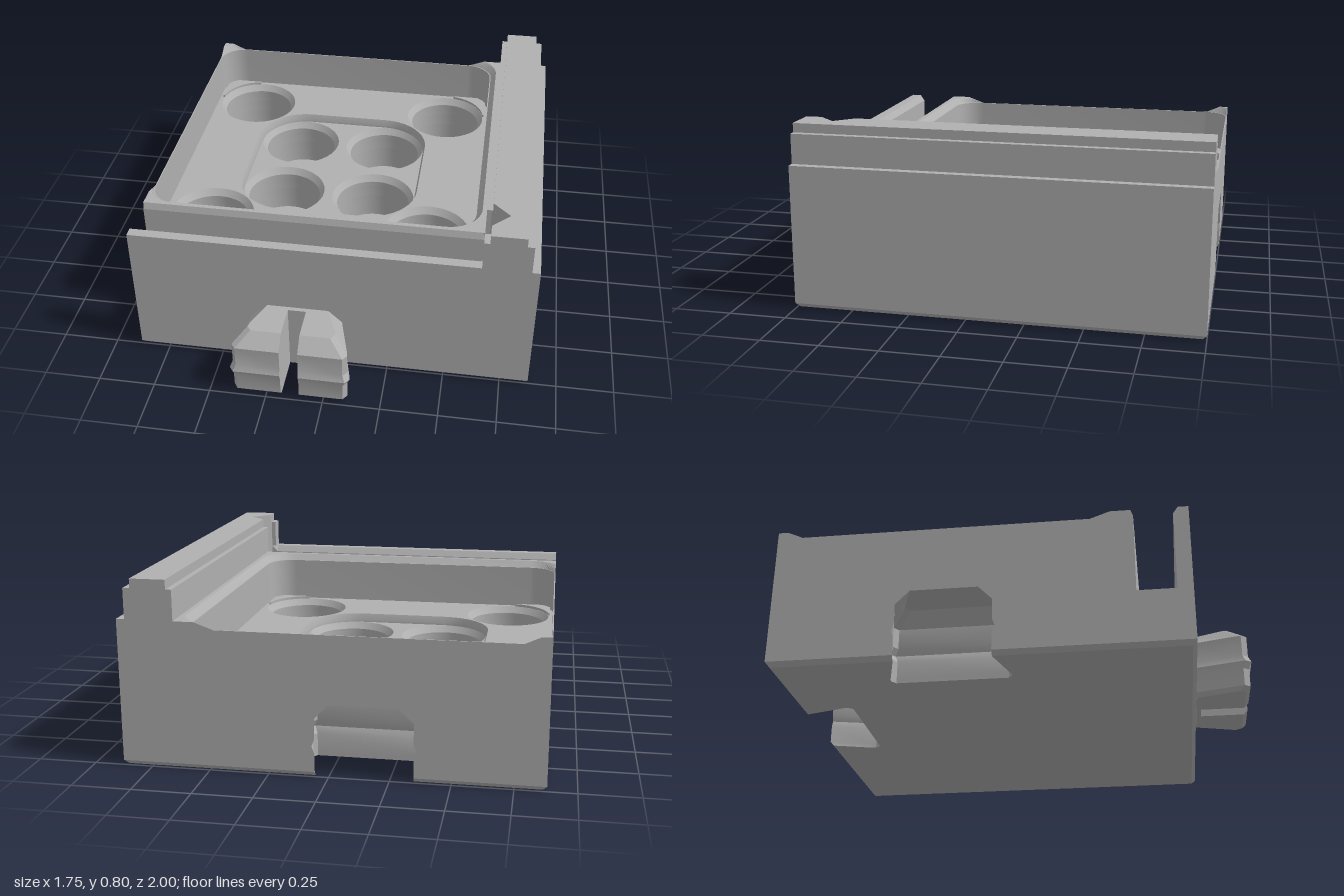
import * as THREE from 'three';
import { toCreasedNormals } from 'three/addons/utils/BufferGeometryUtils.js';

// Plan coordinates [x, z] are measured from the centre of the tray cavity.
const LO = -0.735, HI = 1.02;

// Solid made of stacked plan sections: levels = [{ y, outline, holes }]
function solid(levels) {
  const v2 = (pts, ccw) => {
    const a = pts.map(([x, z]) => new THREE.Vector2(x, z));
    return (THREE.ShapeUtils.area(a) > 0) === ccw ? a : a.reverse();
  };
  const secs = levels.map(({ y, outline, holes = [] }) => ({
    y, loops: [v2(outline, true), ...holes.map((h) => v2(h, false))],
  }));
  const pos = [];
  const put = (p, y) => pos.push(p.x, y, p.y);
  // Walls
  for (let k = 0; k + 1 < secs.length; k++) {
    const a = secs[k], b = secs[k + 1];
    a.loops.forEach((loop, l) => loop.forEach((p, i) => {
      const j = (i + 1) % loop.length, up = b.loops[l];
      put(p, a.y); put(up[i], b.y); put(up[j], b.y);
      put(p, a.y); put(up[j], b.y); put(loop[j], a.y);
    }));
  }
  // Caps
  const cap = ({ y, loops }, top) => {
    const all = loops.flat();
    for (const f of THREE.ShapeUtils.triangulateShape(loops[0], loops.slice(1))) {
      const t = f.map((i) => all[i]);
      if ((THREE.ShapeUtils.area(t) > 0) === top) t.reverse();
      t.forEach((p) => put(p, y));
    }
  };
  cap(secs[0], false);
  cap(secs[secs.length - 1], true);
  const g = new THREE.BufferGeometry();
  g.setAttribute('position', new THREE.Float32BufferAttribute(pos, 3));
  return toCreasedNormals(g, 0.4);
}

// Points of an arc from angle a to b
function arc(cx, cz, r, a, b, n = 10) {
  return Array.from({ length: n + 1 }, (_, i) => {
    const t = a + (b - a) * i / n;
    return [cx + r * Math.cos(t), cz + r * Math.sin(t)];
  });
}
const circle = (cx, cz, r) => arc(cx, cz, r, 0, Math.PI * 2, 40).slice(0, -1);
const fourCorners = (d, f) => [[-d, -d], [d, -d], [-d, d], [d, d]].map(([x, z]) => f(x, z));
const wells = (d, r) => fourCorners(d, (x, z) => circle(x, z, r));

// Rounded square of half size h, corner centres at c
function roundedSquare(h, c) {
  const q = Math.PI / 2;
  return [[c, c], [-c, c], [-c, -c], [c, -c]].flatMap(([x, z], i) => arc(x, z, h - c, i * q, (i + 1) * q));
}

// Half outline of the dovetail: [sideways, outward]
const dovetail = (g) => [[0.195 + g, 0], [0.246 + g, 0.185 + g], [0.25 + g, 0.205 + g], [0.232 + g, 0.23 + g]];

// Pocket running along +x, cut into the edge on the low z side
function pocket(g, inset) {
  const half = dovetail(g + 0.008).map(([s, d], i) => [s, LO + (i ? d : inset)]);
  return [...half.map(([s, z]) => [-s, z]), ...half.reverse()];
}

// Groove with a pointed end, listed from its cavity side to its front side
const groove = (a = 0.79, b = 0.955) => [[LO, a], [0.77, a], [0.8, 0.79], [0.88, 0.8725], [0.8, 0.955], [0.77, b], [LO, b]];

// Body outline with optional pockets and groove
function body({ g = null, inset = 0, cut = false }) {
  const lo = LO + inset, hi = HI - inset;
  const back = g === null ? [] : pocket(g, inset);
  const left = back.map(([x, z]) => [z, x]).reverse();
  return [[lo, lo], ...back, [hi, lo], [hi, hi], [lo, hi], ...(cut ? groove().reverse() : []), ...left];
}

export function createModel() {
  const grey = new THREE.MeshStandardMaterial({ color: 0xb0b0b0 });
  grey.name = 'grey plastic';
  const model = new THREE.Group();
  model.name = 'modularTray';
  const add = (name, levels) => {
    const m = new THREE.Mesh(solid(levels), grey);
    m.name = name;
    m.position.set(-0.145, 0, -0.265);
    model.add(m);
  };

  // Closed base with chamfered foot and connector pockets
  add('base', [
    { y: 0, outline: body({ g: 0, inset: 0.018 }) },
    { y: 0.02, outline: body({ g: 0 }) },
    { y: 0.1, outline: body({ g: 0 }) },
    { y: 0.13, outline: body({ g: 0.012 }) },
  ]);

  // Lower block with eight wells
  const eight = (ri) => [...wells(0.22, ri), ...wells(0.51, 0.175)];
  add('lowerBlock', [[0.13, 0.012], [0.16, 0], [0.25, 0]].map(([y, g]) => ({ y, outline: body({ g }), holes: eight(0.175) })));
  add('pocketRoofBlock', [[0.25, 0], [0.31, -0.06]].map(([y, g]) => ({ y, outline: body({ g, cut: true }), holes: eight(0.175) })));
  add('wellBlock', [[0.31, 0.175], [0.33, 0.175], [0.36, 0.198]].map(([y, r]) => ({ y, outline: body({ cut: true }), holes: eight(r) })));

  // Tray floor around the rounded central recess
  add('trayFloor', [[0.36, 0.175, 0.422], [0.37, 0.175, 0.422], [0.4, 0.199, 0.432]].map(([y, r, h]) => ({
    y, outline: body({ cut: true }), holes: [...wells(0.51, r), roundedSquare(h, 0.2)],
  })));

  // Raised corner pads beside the outer wells
  fourCorners(1, (sx, sz) => {
    const pad = [[0.715, 0.54], [0.715, 0.715], [0.54, 0.715], ...arc(0.51, 0.51, 0.2, 1.42, 0.15)]
      .map(([x, z]) => [x * sx, z * sz]);
    add('cornerPad', [{ y: 0.395, outline: pad }, { y: 0.412, outline: pad }]);
  });

  // Walls of the cavity
  add('trayWalls', [0.4, 0.6].map((y) => ({ y, outline: body({ cut: true }), holes: [roundedSquare(0.73, 0.61)] })));

  // Chamfered top edge, left open where it runs over the thin walls
  const C = 0.61, Q = Math.PI / 2;
  const startAngle = (h) => Math.acos(Math.min(1, (-LO - C) / (h - C)));
  const edge = (y, h, a, b) => {
    const r = h - C, t = startAngle(h);
    return { y, outline: [
      ...arc(-C, C, r, Math.PI - t, Q), ...arc(C, C, r, Q, 0), ...arc(C, -C, r, 0, t - Q),
      [HI, LO], [HI, HI], [LO, HI], ...groove(a, b).reverse(),
    ] };
  };
  add('topEdge', [edge(0.6, 0.735, 0.79, 0.955), edge(0.63, 0.76, 0.78, 0.975)]);
  const tip = (y, h) => {
    const t = startAngle(h);
    return { y, outline: [[LO, LO], ...arc(-C, -C, h - C, 3 * Q - t, 2 * Q + t)] };
  };
  add('cornerTip', [tip(0.6, 0.736), tip(0.63, 0.76)]);

  // Stepped rail with the groove's pointed end cut into it
  const rail = (x0, x1, n) => [
    [x0, LO], [x0, 0.8725 - n], [0.8 + Math.max(0, x0 - 0.8), 0.8725 - n], [0.88, 0.8725],
    [0.8 + Math.max(0, x0 - 0.8), 0.8725 + n], [x0, 0.8725 + n], [x0, HI], [x1, HI], [x1, LO],
  ];
  const lower = rail(0.78, 0.985, 0.0825);
  const upper = rail(0.805, 0.955, 0.0775).filter((_, i) => i !== 2 && i !== 4);
  add('railBase', [{ y: 0.63, outline: lower }, { y: 0.76, outline: lower }]);
  add('railTop', [{ y: 0.76, outline: upper }, { y: 0.8, outline: upper }]);

  // Split dovetail connector on the front
  const plug = (g) => {
    const half = dovetail(g).map(([s, d]) => [s, HI + d]);
    const end = half[3][1];
    const right = [...half, [0.04, end], [0.04, HI + 0.02]];
    return [...right, ...right.map(([x, z]) => [-x, z]).reverse()];
  };
  add('connector', [[0, -0.018], [0.02, 0], [0.1, 0], [0.13, 0.012], [0.16, 0], [0.255, 0], [0.312, -0.06]]
    .map(([y, g]) => ({ y, outline: plug(g) })));

  return model;
}
